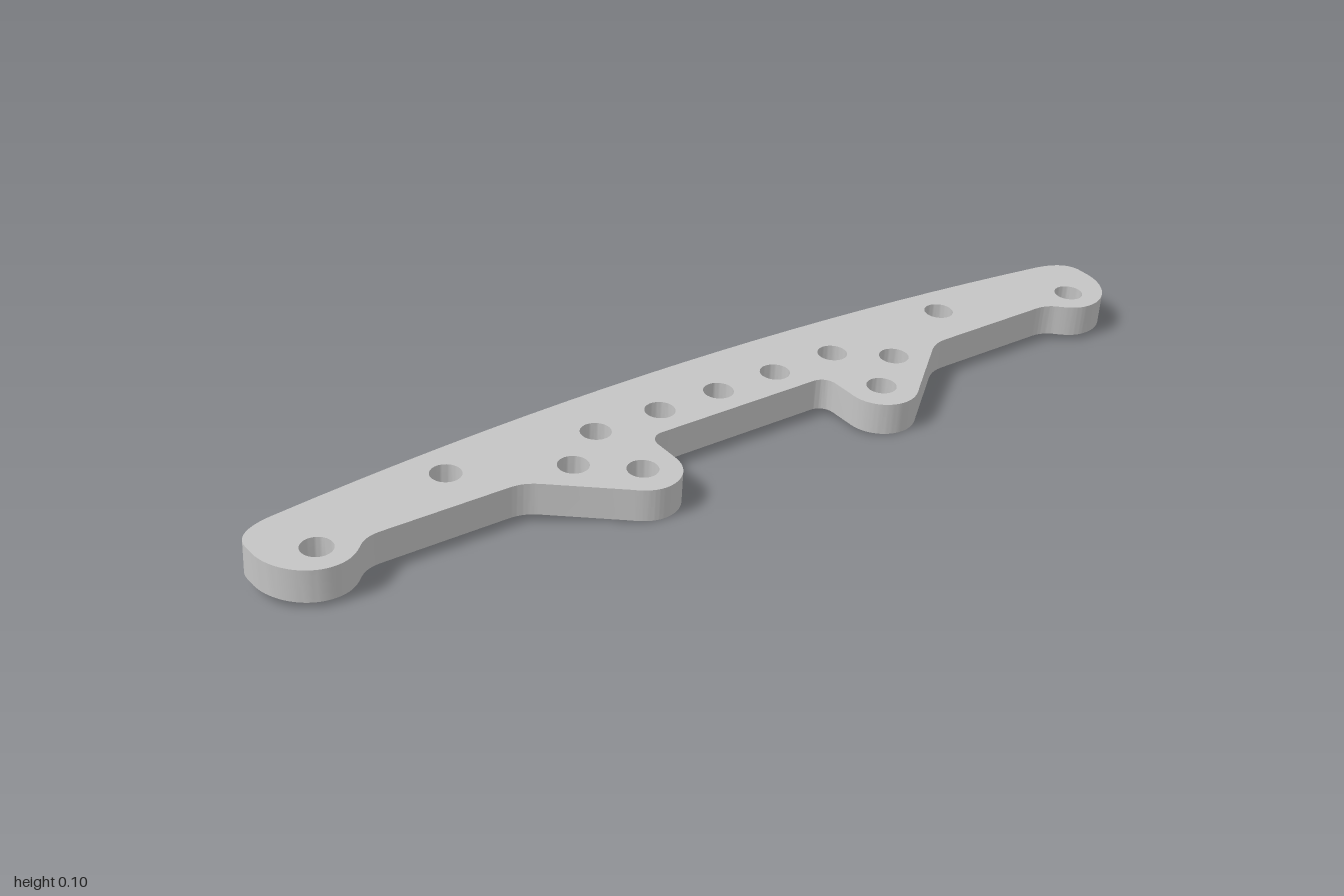
import * as THREE from 'three';
import { toCreasedNormals } from 'three/addons/utils/BufferGeometryUtils.js';

const THICKNESS = 0.066;
const TILT = 0.106;
// Height of the tilted plate is set so its lowest edge rests on the ground
const CENTRE_Y = 0.0515;

// Top-face z position to shape y (the plate is drawn flat, then tilted)
const sy = z => -(z - 0.0035) / Math.cos(TILT);

// Half of the front edge, from the outer side towards the middle:
// [control x, z, control x, z, end x, z] for curves, [x, z] for straight runs
const halfEdge = [
  [1, -0.025],
  [0.998, 0.028, 0.955, 0.079, 0.9, 0.079],   // round end lug
  [0.868, 0.079, 0.85, 0.063, 0.835, 0.048],
  [0.822, 0.035, 0.805, 0.03, 0.785, 0.03],   // fillet
  [0.53, 0.03],
  [0.505, 0.03, 0.49, 0.036, 0.472, 0.05],
  [0.345, 0.151],                             // sloped side of the tab
  [0.325, 0.169, 0.307, 0.177, 0.287, 0.177],
  [0.247, 0.177, 0.215, 0.145, 0.215, 0.105], // round tab end
  [0.215, 0.053],
  [0.215, 0.033, 0.203, 0.02, 0.183, 0.02],   // inner fillet
];

function drawEdge(shape) {
  for (const p of halfEdge) {
    if (p.length === 2) shape.lineTo(p[0], sy(p[1]));
    else shape.bezierCurveTo(p[0], sy(p[1]), p[2], sy(p[3]), p[4], sy(p[5]));
  }
}

// Same edge on the other side, walked backwards from the middle outwards
function drawMirroredEdge(shape) {
  const end = i => halfEdge[i].slice(-2);
  const [innerX, innerZ] = end(halfEdge.length - 1);
  shape.lineTo(-innerX, sy(innerZ));
  for (let i = halfEdge.length - 1; i > 0; i--) {
    const p = halfEdge[i];
    const [x, z] = end(i - 1);
    if (p.length === 2) shape.lineTo(-x, sy(z));
    else shape.bezierCurveTo(-p[2], sy(p[3]), -p[0], sy(p[1]), -x, sy(z));
  }
}

export function createModel() {
  const group = new THREE.Group();
  const grey = new THREE.MeshStandardMaterial({ color: 0xc4c4c4 });
  grey.name = 'lightGrey';

  // Outline: bowed back edge, rounded ends, lugs and tabs along the front
  const shape = new THREE.Shape();
  shape.moveTo(-0.92, sy(-0.109));
  shape.quadraticCurveTo(0, sy(-0.233), 0.92, sy(-0.109));
  shape.bezierCurveTo(0.965, sy(-0.103), 1, sy(-0.085), 1, sy(-0.05));
  drawEdge(shape);
  drawMirroredEdge(shape);
  shape.lineTo(-1, sy(-0.05));
  shape.bezierCurveTo(-1, sy(-0.085), -0.965, sy(-0.103), -0.92, sy(-0.109));

  // Bolt holes, mirrored left and right, wound opposite to the outline
  const holes = [[0, -0.047]];
  for (const [x, z] of [[0.14, -0.047], [0.288, -0.047], [0.288, 0.104],
    [0.388, 0.027], [0.598, -0.069], [0.9, 0.014]]) holes.push([x, z], [-x, z]);
  for (const [x, z] of holes) {
    const hole = new THREE.Path();
    hole.absarc(x, sy(z), 0.03, 0, Math.PI * 2, false);
    shape.holes.push(hole);
  }

  let geometry = new THREE.ExtrudeGeometry(shape, {
    depth: THICKNESS, bevelEnabled: false, curveSegments: 20,
  });
  geometry.translate(0, 0, -THICKNESS / 2);
  geometry.rotateX(-Math.PI / 2 + TILT);
  geometry.translate(0, CENTRE_Y, 0);
  geometry = toCreasedNormals(geometry, 0.5);

  const plate = new THREE.Mesh(geometry, grey);
  plate.name = 'drilledPlate';
  group.add(plate);
  return group;
}
